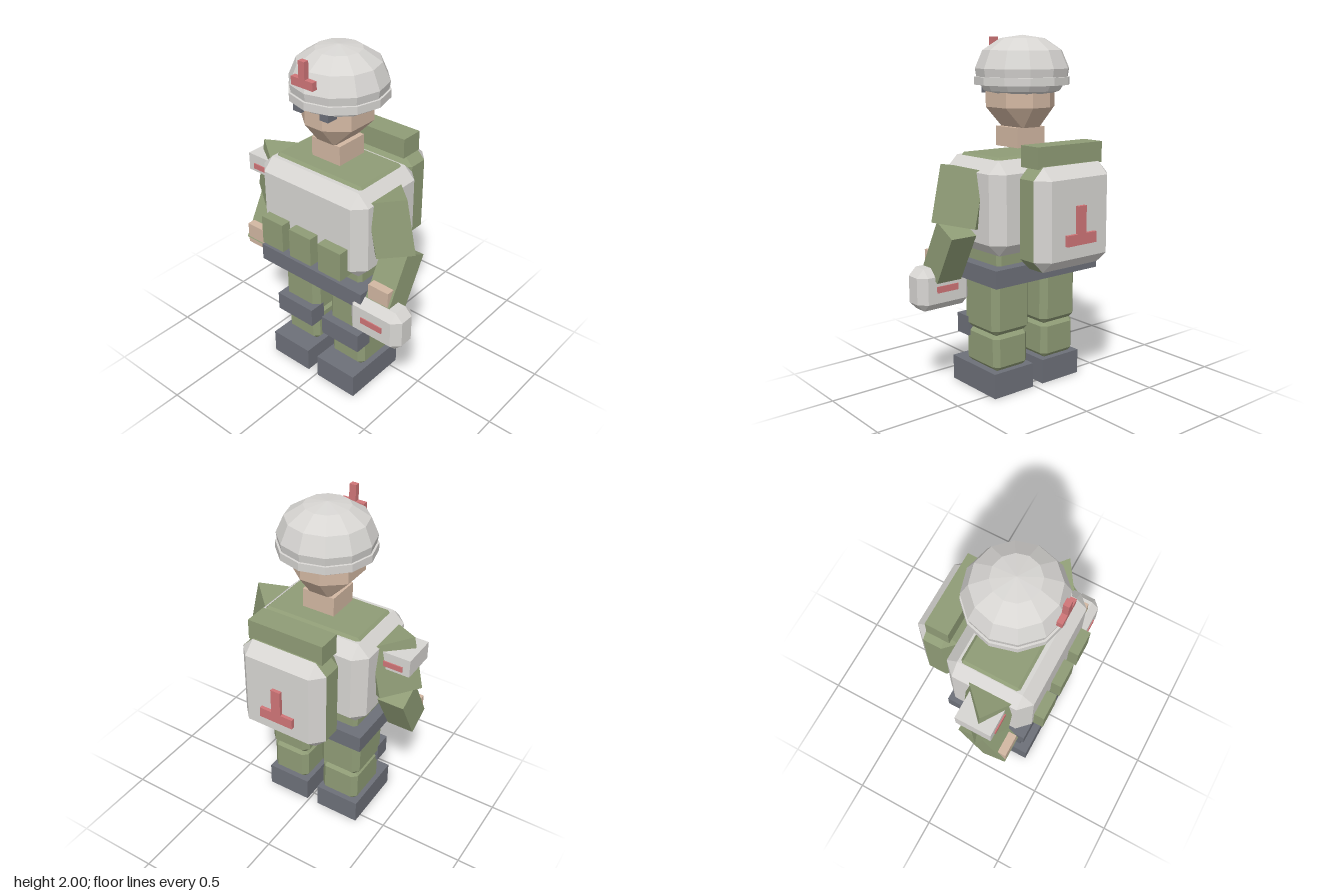
import * as THREE from 'three';
import { ConvexGeometry } from 'three/addons/geometries/ConvexGeometry.js';

const paint = (name, color) => {
  const m = new THREE.MeshStandardMaterial({ color });
  m.name = name;
  return m;
};

export function createModel() {
  const green = paint('uniform green', 0x8f9c76);
  const white = paint('armour white', 0xd7d5d2);
  const dark = paint('boot grey', 0x6d7079);
  const skin = paint('skin', 0xd2b7a2);
  const red = paint('marking red', 0xcf7577);

  const model = new THREE.Group();
  model.name = 'fieldMedic';
  const CX = -0.027; // body centre line

  const add = (name, geometry, material) => {
    const mesh = new THREE.Mesh(geometry, material);
    mesh.name = name;
    model.add(mesh);
    return mesh;
  };
  const hull = (name, points, material) =>
    add(name, new ConvexGeometry(points.map((p) => new THREE.Vector3(...p))), material);

  // Plain box given by its x, y and z ranges
  const box = (name, [x0, x1], [y0, y1], [z0, z1], material) => {
    const g = new THREE.BoxGeometry(x1 - x0, y1 - y0, z1 - z0);
    return add(name, g.translate((x0 + x1) / 2, (y0 + y1) / 2, (z0 + z1) / 2), material);
  };

  // Box with all edges chamfered by c
  const chamferBox = (name, xs, ys, zs, c, material) => {
    const pts = [];
    for (const i of [0, 1]) for (const j of [0, 1]) for (const k of [0, 1]) {
      const p = [xs[i], ys[j], zs[k]];
      const q = [xs[i] + (i ? -c : c), ys[j] + (j ? -c : c), zs[k] + (k ? -c : c)];
      pts.push([p[0], q[1], q[2]], [q[0], p[1], q[2]], [q[0], q[1], p[2]]);
    }
    return hull(name, pts, material);
  };

  // Tilted box from one corner and three edge vectors
  const slantBox = (name, corner, edges, material) => {
    const pts = [];
    for (let n = 0; n < 8; n++) {
      pts.push(corner.map((v, a) => v + edges.reduce((s, e, b) => s + ((n >> b) & 1) * e[a], 0)));
    }
    return hull(name, pts, material);
  };

  // Upright T marking turned upside down
  const marking = (name, x, y, height, bar, half, zs) => {
    box(name + 'Bar', [x - half, x + half], [y, y + bar], zs, red);
    box(name + 'Stem', [x - half * 0.28, x + half * 0.28], [y + bar, y + height], zs, red);
  };

  // Legs, knee pads and boots
  for (const [side, x] of [['right', -0.2], ['left', 0.149]]) {
    const span = (h) => [x - h, x + h];
    box(side + 'Boot', span(0.138), [0, 0.145], [-0.06, 0.345], dark);
    chamferBox(side + 'Shin', span(0.12), [0.14, 0.365], [-0.047, 0.245], 0.03, green);
    chamferBox(side + 'Thigh', span(0.131), [0.35, 0.675], [-0.055, 0.25], 0.035, green);
    box(side + 'KneePad', span(0.134), [0.305, 0.42], [0.195, 0.3], dark);
  }

  // Torso, belt, vest and pouches
  box('belt', [-0.396, 0.342], [0.67, 0.77], [-0.15, 0.345], dark);
  chamferBox('torso', [-0.33, 0.276], [0.72, 1.362], [-0.085, 0.27], 0.02, green);
  chamferBox('vest', [-0.397, 0.343], [0.83, 1.347], [-0.16, 0.355], 0.067, white);
  for (const x of [-0.232, CX, 0.182]) {
    box('pouch', [x - 0.077, x + 0.077], [0.86, 1.032], [0.32, 0.415], green);
  }

  // Backpack: green body, white rear shell and bed roll
  const px = [-0.287, 0.235], py = [0.77, 1.33], c = 0.065;
  const ring = (z) => px.flatMap((x, i) => py.flatMap((y, j) => [
    [x, y + (j ? -c : c), z], [x + (i ? -c : c), y, z]]));
  const inset = (z) => px.flatMap((x, i) => py.map((y, j) => [x + (i ? -c : c), y + (j ? -c : c), z]));
  hull('backpackBody', [...inset(-0.155), ...ring(-0.22), ...ring(-0.33)], green);
  hull('backpackShell', [...ring(-0.33), ...inset(-0.4)], white);
  box('bedRoll', [-0.255, 0.2], [1.32, 1.435], [-0.322, -0.185], green);
  marking('backpackMarking', CX, 0.91, 0.21, 0.06, 0.103, [-0.42, -0.395]);

  // Arms, mirrored about the centre line
  for (const [side, s] of [['left', 1], ['right', -1]]) {
    const flip = ([x, y, z]) => [s * x, y, z];
    const place = (x, y, z) => [CX + s * (x - CX), y, z];
    slantBox(side + 'UpperArm', place(0.48, 1.325, 0.15),
      [[-0.17, -0.036, -0.165], [-0.168, -0.035, 0.115], [0.067, -0.311, 0]].map(flip), green);
    slantBox(side + 'Forearm', place(0.345, 1.01, 0.16),
      [[0.16, 0, 0], [0, -0.075, -0.14], [0, -0.275, 0.15]].map(flip), green);
    const hx = [place(0.36, 0, 0)[0], place(0.493, 0, 0)[0]].sort((a, b) => a - b);
    box(side + 'Hand', hx, [0.705, 0.83], [0.21, 0.307], skin);
  }

  // Armband on the right arm, marked front and back
  box('armband', [-0.576, -0.394], [1.155, 1.26], [0.025, 0.235], white);
  box('armbandMarking', [-0.535, -0.42], [1.175, 1.207], [0.018, 0.242], red);

  // Hand-held kit case
  chamferBox('kitCase', [0.252, 0.597], [0.495, 0.738], [0.187, 0.358], 0.045, white);
  box('kitCaseMarking', [0.355, 0.495], [0.6, 0.637], [0.181, 0.364], red);

  // Neck and faceted head
  box('neck', [-0.122, 0.072], [1.39, 1.5], [0, 0.195], skin);
  const headRing = (y, rx, rz, fx, fz) => [-1, 1].flatMap((a) => [-1, 1].flatMap((b) => [
    [CX + a * rx, y, 0.098 + b * fz], [CX + a * fx, y, 0.098 + b * rz]]));
  hull('head', [
    ...headRing(1.49, 0.06, 0.092, 0.055, 0.085),
    ...headRing(1.61, 0.174, 0.183, 0.06, 0.09),
    ...headRing(1.74, 0.174, 0.183, 0.06, 0.09),
  ], skin);

  // Helmet: faceted dome with a rim band
  const lathe = (profile) => {
    const pts = profile.map(([r, y]) => new THREE.Vector2(r, y));
    const g = new THREE.LatheGeometry(pts, 12).toNonIndexed();
    g.computeVertexNormals();
    return g.translate(CX, 0, 0.08);
  };
  add('helmetDome', lathe([[0, 1.672], [0.13, 1.675], [0.215, 1.7], [0.256, 1.77], [0.264, 1.82],
    [0.222, 1.918], [0.125, 1.982], [0, 2]]), white);
  add('helmetBand', lathe([[0.2, 1.732], [0.268, 1.732], [0.268, 1.775], [0.2, 1.782]]), white);
  marking('helmetMarking', CX, 1.855, 0.137, 0.045, 0.071, [0.325, 0.356]);

  // Goggle clips under the helmet rim
  for (const s of [-1, 1]) {
    const x = CX + s * 0.09;
    box('goggleClip', [x - 0.028, x + 0.028], [1.682, 1.735], [0.2, 0.302], dark);
  }

  return model;
}
